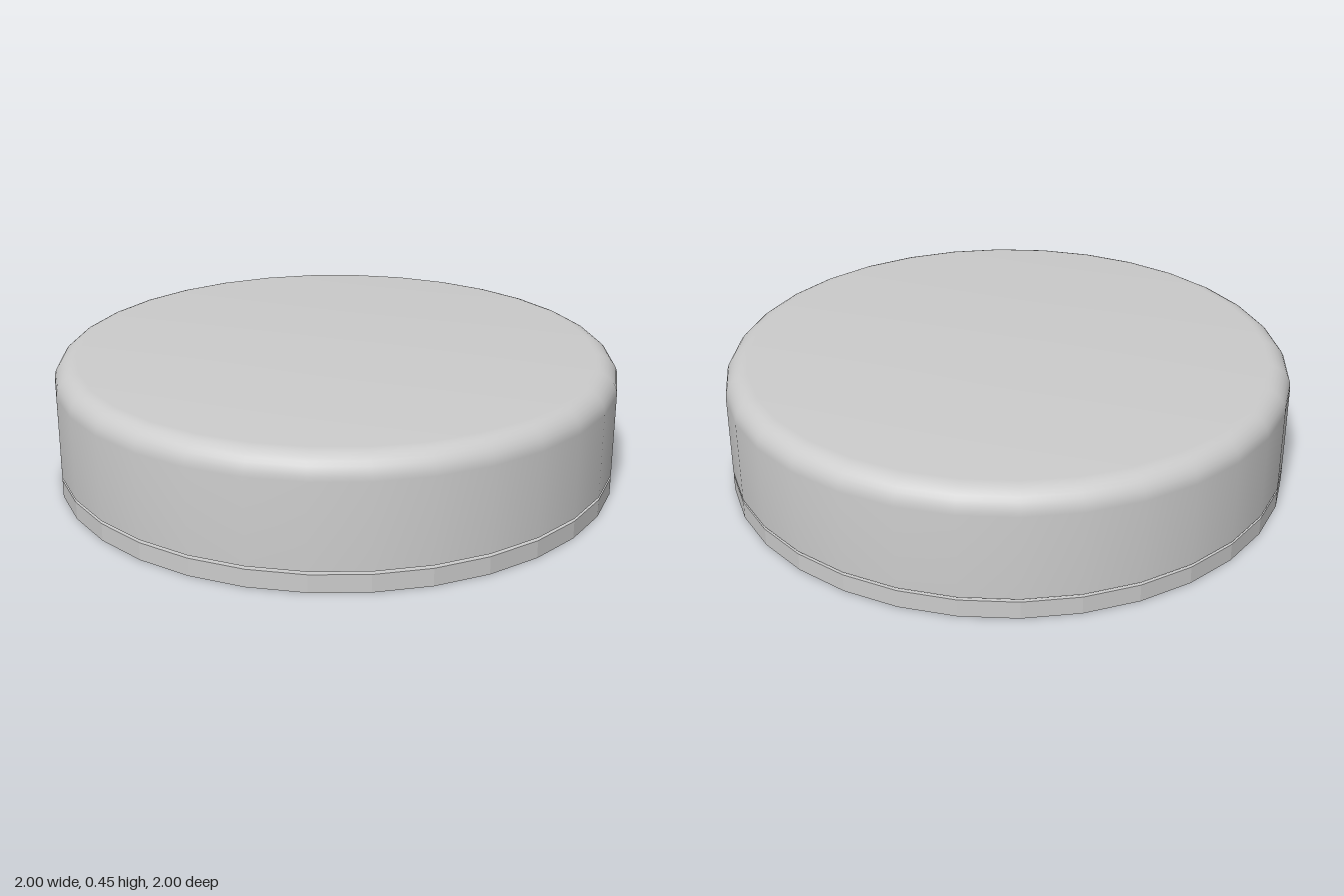
import * as THREE from 'three';
import { toCreasedNormals } from 'three/addons/utils/BufferGeometryUtils.js';

const SIDES = 32;

export function createModel() {
  const group = new THREE.Group();
  const smooth = new THREE.MeshStandardMaterial({ color: 0xcccccc });
  const faceted = new THREE.MeshStandardMaterial({ color: 0xcccccc, flatShading: true });

  const add = (name, geometry, material, y = 0) => {
    const mesh = new THREE.Mesh(geometry, material);
    mesh.name = name;
    mesh.position.y = y;
    group.add(mesh);
  };

  // Thin faceted base disc
  const baseTop = 0.062;
  add('base', new THREE.CylinderGeometry(1, 1, baseTop, SIDES), faceted, baseTop / 2);

  // Short central pin bridging the narrow gap
  const capBottom = 0.072;
  add('centrePin', new THREE.CylinderGeometry(0.1, 0.1, capBottom - baseTop, SIDES), smooth, (baseTop + capBottom) / 2);

  // Cap with a rounded upper rim
  const top = 0.45, r = 0.08, steps = 8;
  const profile = [new THREE.Vector2(0, capBottom), new THREE.Vector2(1, capBottom)];
  for (let i = 0; i <= steps; i++) {
    const a = (i / steps) * Math.PI / 2;
    profile.push(new THREE.Vector2(1 - r + r * Math.cos(a), top - r + r * Math.sin(a)));
  }
  profile.push(new THREE.Vector2(0, top));
  add('cap', toCreasedNormals(new THREE.LatheGeometry(profile, SIDES), Math.PI / 6), smooth);

  return group;
}
